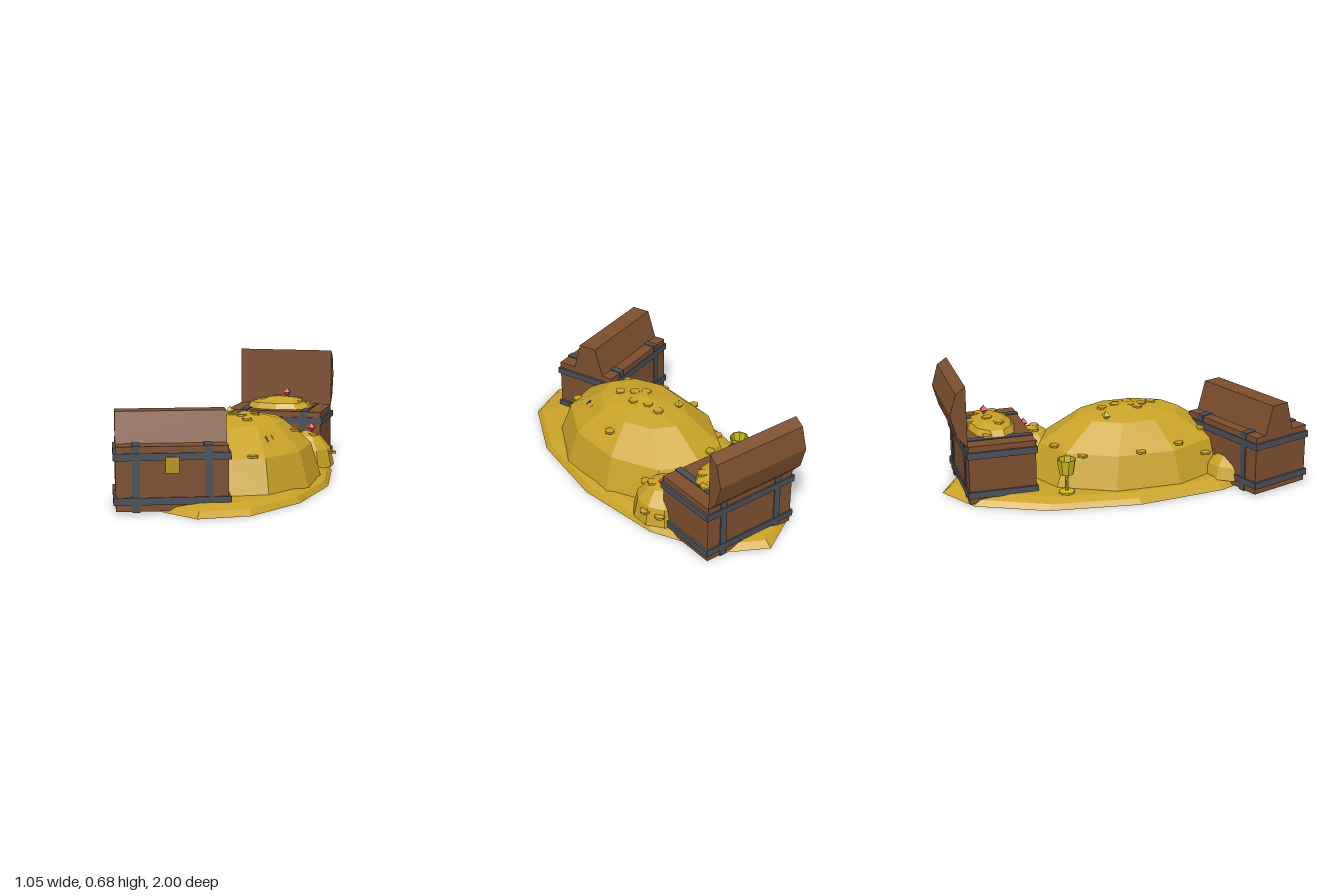
import * as THREE from 'three';

const mat = (name, color) => Object.assign(new THREE.MeshStandardMaterial({ color }), { name });

// Faceted copy of a geometry, one normal per face
const facet = (geo) => {
  const g = geo.index ? geo.toNonIndexed() : geo;
  g.computeVertexNormals();
  return g;
};

const lathe = (pts, sides) =>
  facet(new THREE.LatheGeometry(pts.map(([r, y]) => new THREE.Vector2(r, y)), sides));

export function createModel() {
  const model = new THREE.Group();
  model.name = 'treasureHoard';

  const gold = mat('gold', 0xc9a227);
  const brass = mat('brass', 0xb8921f);
  const wood = mat('wood', 0x7b4f2e);
  const iron = mat('iron', 0x4a4f57);
  const ruby = mat('ruby', 0xe03a3e);
  const sapphire = mat('sapphire', 0x3a4050);
  const yellow = mat('yellowGold', 0xc8b820);
  yellow.side = THREE.DoubleSide;

  const add = (parent, name, geo, material, x = 0, y = 0, z = 0) => {
    const m = new THREE.Mesh(geo, material);
    m.name = name;
    m.position.set(x, y, z);
    parent.add(m);
    return m;
  };
  const box = (w, h, d) => new THREE.BoxGeometry(w, h, d);

  // Low spread of gold under everything
  add(model, 'goldBase', lathe([[0, 0], [1, 0], [0.96, 0.03], [0.86, 0.05], [0, 0.05]], 12), gold, 0.04)
    .scale.set(0.48, 1, 1);

  // Faceted domes of gold
  const domeProfile = [0, 30, 60, 90].map((deg) => {
    const a = THREE.MathUtils.degToRad(deg);
    return [Math.cos(a), Math.sin(a)];
  });
  const dome = lathe(domeProfile, 10);
  const mounds = {
    main: { name: 'mainMound', x: 0.06, y: 0.04, z: 0.08, rx: 0.42, h: 0.38, rz: 0.6 },
    side: { name: 'sideMound', x: 0.31, y: 0.04, z: -0.43, rx: 0.17, h: 0.205, rz: 0.17 },
    front: { name: 'frontMound', x: -0.22, y: 0.04, z: 0.61, rx: 0.16, h: 0.14, rz: 0.16 },
    heap: { name: 'chestHeap', x: 0.095, y: 0.34, z: -0.705, rx: 0.205, h: 0.07, rz: 0.13 },
  };
  for (const m of Object.values(mounds))
    add(model, m.name, dome, gold, m.x, m.y, m.z).scale.set(m.rx, m.h, m.rz);

  // Coins lying flat on the mounds
  const coinGeo = facet(new THREE.CylinderGeometry(0.029, 0.029, 0.012, 6));
  const surface = (m, x, z) => {
    const q = ((x - m.x) / m.rx) ** 2 + ((z - m.z) / m.rz) ** 2;
    return m.y + m.h * 0.97 * Math.sqrt(Math.max(0, 1 - q * 1.06));
  };
  const coins = {
    main: [[0.07, -0.07], [0.08, 0.01], [0.05, 0.09], [0.12, 0.09], [0.06, 0.16], [0.11, 0.23],
      [0.01, 0.12], [-0.05, -0.38], [-0.2, -0.26], [-0.24, 0.28], [-0.22, 0.45], [0.33, 0.03],
      [0.21, 0.52], [-0.1, 0.46], [-0.28, 0.05]],
    side: [[0.27, -0.42], [0.36, -0.4], [0.46, -0.46], [0.42, -0.54], [0.2, -0.45], [0.34, -0.31]],
    heap: [[0.07, -0.73], [0, -0.68], [0.12, -0.81], [0.2, -0.75], [0.28, -0.74], [-0.08, -0.76], [0.24, -0.67]],
  };
  for (const [key, list] of Object.entries(coins))
    list.forEach(([x, z], i) => {
      add(model, 'coin', coinGeo, gold, x, surface(mounds[key], x, z), z).rotation.y = i * 0.7;
    });

  // Cut gems
  const gemGeo = facet(new THREE.OctahedronGeometry(0.028));
  for (const [name, material, x, y, z] of [
    ['rubyOnHeap', ruby, 0.135, 0.43, -0.735],
    ['rubyOnSideMound', ruby, 0.34, 0.257, -0.465],
    ['rubyOnMainMound', ruby, 0.26, 0.296, 0.3],
    ['sapphireOnMainMound', sapphire, 0.24, 0.296, 0.348],
    ['yellowGem', yellow, -0.065, 0.395, -0.085],
  ]) add(model, name, gemGeo, material, x, y, z).rotation.y = Math.PI / 4;

  // Goblet: foot, stem and open cup
  add(model, 'goblet', lathe([[0, 0], [0.045, 0], [0.045, 0.01], [0.01, 0.015], [0.01, 0.1],
    [0.04, 0.11], [0.053, 0.195], [0.046, 0.195], [0.034, 0.12], [0, 0.12]], 8), yellow, -0.27, 0.05, -0.37);

  // Lid made from a cross-section (z, y) drawn out along x
  const W = 0.57, D = 0.37, H = 0.34;
  const lid = (section) => {
    const shape = new THREE.Shape(section.map(([z, y]) => new THREE.Vector2(-z, y)));
    const g = new THREE.ExtrudeGeometry(shape, { depth: W, bevelEnabled: false });
    g.translate(0, 0, -W / 2).rotateY(Math.PI / 2);
    return facet(g);
  };

  // Chest with iron bands, straps and a lock plate
  const chest = (name, x, z, turn, section) => {
    const c = new THREE.Group();
    c.name = name;
    c.position.set(x, 0, z);
    c.rotation.y = turn;
    add(c, 'body', box(W, H - 0.01, D), wood, 0, H / 2 + 0.005);
    for (const y of [0.062, 0.288]) add(c, 'band', box(0.595, 0.037, 0.386), iron, 0, y);
    for (const s of [-1, 1]) add(c, 'strap', box(0.04, 0.34, 0.38), iron, s * 0.183, 0.175);
    add(c, 'lockPlate', box(0.07, 0.082, 0.009), brass, 0, 0.246, 0.197);
    add(c, 'lid', lid(section), wood);
    model.add(c);
  };
  chest('frontChest', -0.182, 0.71, 0.346,
    [[0.08, 0.34], [0.037, 0.5], [-0.07, 0.5], [-0.12, 0.34]]);
  chest('backChest', 0.095, -0.703, 0,
    [[-0.187, 0.34], [-0.187, 0.677], [-0.24, 0.64], [-0.275, 0.52], [-0.242, 0.4]]);

  return model;
}
